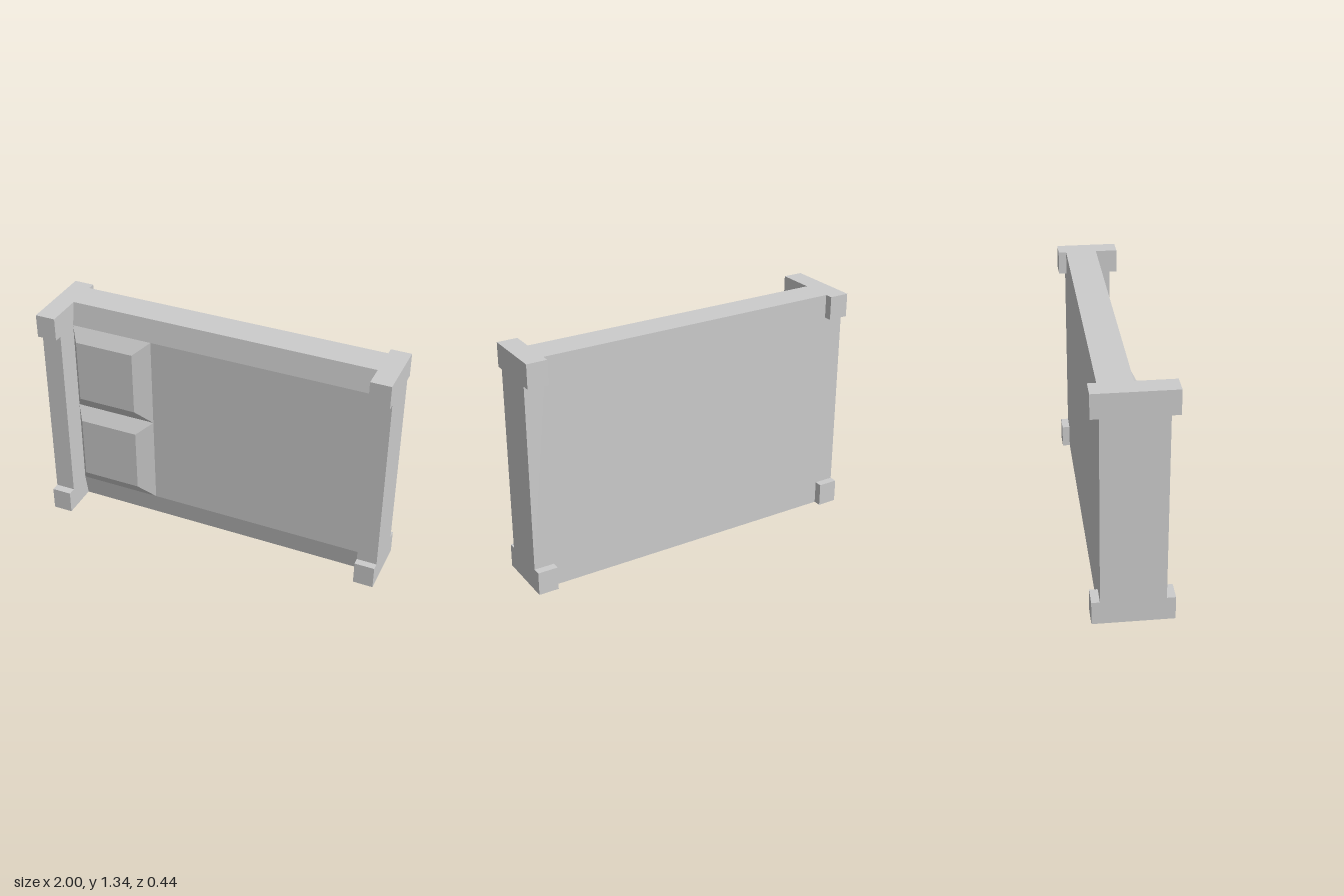
import * as THREE from 'three';

const H = 1.335;        // overall height
const CAP = 0.135;      // height of the post blocks
const INNER = 0.885;    // inner face of the side posts
const BACK = -0.175;    // back plane of slab and posts
const FRONT = 0.03;     // front plane of slab

export function createModel() {
  const group = new THREE.Group();
  const material = new THREE.MeshStandardMaterial({ color: 0xcccccc, flatShading: true });

  const add = (name, geometry) => {
    const mesh = new THREE.Mesh(geometry, material);
    mesh.name = name;
    group.add(mesh);
  };

  // Extrudes a side outline of [z, y] points along x from x0 to x1
  const sideExtrude = (points, x0, x1) => {
    const shape = new THREE.Shape(points.map(([z, y]) => new THREE.Vector2(z, y)));
    return new THREE.ExtrudeGeometry(shape, { depth: x1 - x0, bevelEnabled: false })
      .rotateY(-Math.PI / 2)
      .translate(x1, 0, 0);
  };

  // Main slab with its front sloping back at top and bottom
  add('slab', sideExtrude([
    [BACK, 0], [0.005, 0], [FRONT, CAP], [FRONT, H - CAP], [0.005, H], [BACK, H],
  ], -INNER, INNER));

  // Side posts with projecting blocks at both ends, front and back
  const post = (name, x0, x1, capFront, midFront) => add(name, sideExtrude([
    [-0.22, 0], [capFront, 0], [capFront, CAP], [midFront, CAP],
    [midFront, H - CAP], [capFront, H - CAP], [capFront, H], [-0.22, H],
    [-0.22, H - CAP], [BACK, H - CAP], [BACK, CAP], [-0.22, CAP],
  ], x0, x1));
  post('rightPost', -1, -INNER, 0.22, 0.172);
  post('leftPost', INNER, 1, 0.13, 0.088);

  // Raised panels: boxes whose front face is drawn in to give sloping sides
  const raisedPanel = (name, y0, y1) => {
    const geometry = new THREE.BoxGeometry(1, 1, 1);
    const p = geometry.attributes.position;
    for (let i = 0; i < p.count; i++) {
      const right = p.getX(i) > 0, top = p.getY(i) > 0, front = p.getZ(i) > 0;
      const inset = front ? 0.078 : 0;
      const x = right ? (front ? -0.495 : -0.4) : (front ? -0.845 : -INNER);
      p.setXYZ(i, x, top ? y1 - inset : y0 + inset, front ? 0.08 : FRONT);
    }
    geometry.computeVertexNormals();
    add(name, geometry);
  };
  raisedPanel('lowerPanel', CAP, H / 2);
  raisedPanel('upperPanel', H / 2, H - CAP);

  return group;
}
